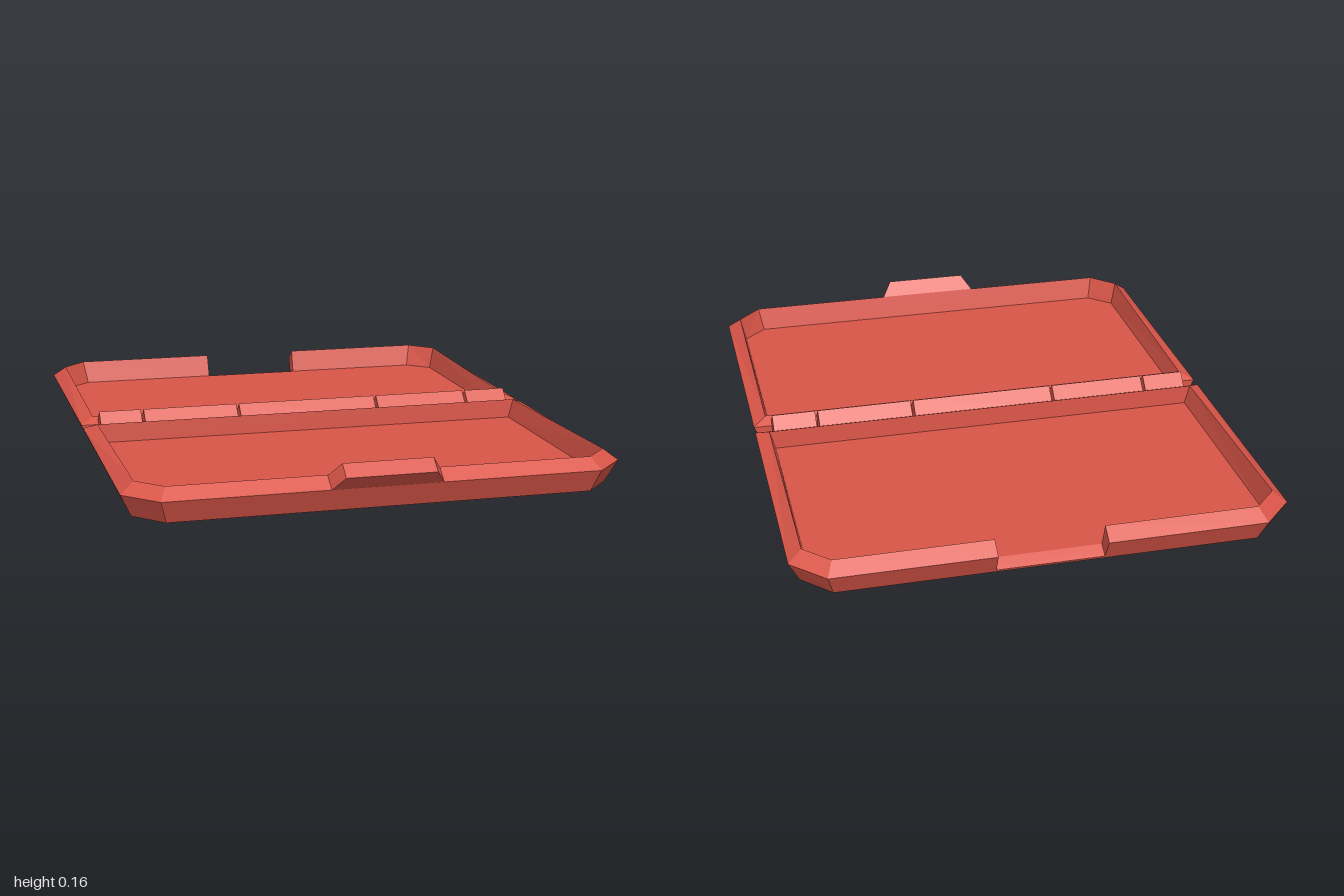
import * as THREE from 'three';

// Skin a stack of equal-length rings of [x, y, z] and close both ends with fans.
function loft(rings, flip = false) {
  const pos = [];
  const tri = (a, b, c) => pos.push(...a, ...(flip ? c : b), ...(flip ? b : c));
  const centre = (r) => [0, 1, 2].map((k) => r.reduce((s, p) => s + p[k], 0) / r.length);
  const n = rings[0].length;
  const first = rings[0], last = rings[rings.length - 1];
  const c0 = centre(first), c1 = centre(last);
  for (let i = 0; i < n; i++) {
    const j = (i + 1) % n;
    tri(c0, first[i], first[j]);
    tri(c1, last[j], last[i]);
    for (let k = 0; k < rings.length - 1; k++) {
      const a = rings[k], b = rings[k + 1];
      tri(a[j], a[i], b[i]);
      tri(a[j], b[i], b[j]);
    }
  }
  const g = new THREE.BufferGeometry();
  g.setAttribute('position', new THREE.Float32BufferAttribute(pos, 3));
  g.computeVertexNormals();
  return g;
}

const HINGE_Z = -0.02;

// Tray sections from the underside up over the rim and down to the floor:
// half width, hinge edge, end edge, corner start, corner half width, hinge y, end y, notch edge, notch y
const SECTIONS = [
  [0.77, 0.02, 0.945, 0.85, 0.68, 0, 0, 0.945, 0],
  [0.805, 0.02, 0.98, 0.873, 0.7, 0.075, 0.075, 0.948, 0.008],
  [0.76, 0.06, 0.932, 0.85, 0.68, 0.095, 0.11, 0.938, 0.014],
  [0.742, 0.063, 0.91, 0.838, 0.665, 0.03, 0.03, 0.91, 0.03],
];

// dir = 1 opens toward the front, -1 toward the back
function tray(dir, notched) {
  const rings = SECTIONS.map(([w, hinge, end, corner, cw, yh, ye, nz, ny]) => {
    const half = [[w, yh, hinge], [w, ye, corner], [cw, ye, end]];
    if (notched) half.push([0.176, ye, end], [0.174, ny, nz]);
    const other = half.map(([x, y, z]) => [-x, y, z]).reverse();
    return [...half, ...other].map(([x, y, z]) => [x, y, dir * z + HINGE_Z]);
  });
  return loft(rings, dir < 0);
}

export function createModel() {
  const model = new THREE.Group();
  model.name = 'openCase';
  const red = new THREE.MeshStandardMaterial({ color: 0xd95548 });
  red.name = 'caseRed';
  const add = (geometry, name, parent = model) => {
    const mesh = new THREE.Mesh(geometry, red);
    mesh.name = name;
    parent.add(mesh);
    return mesh;
  };

  // Two shallow trays, the rear one with a latch notch
  add(tray(1, false), 'frontTray');
  add(tray(-1, true), 'backTray');

  // Latch tab rising from the front rim
  const tabRing = (w, top, bottom) => [[w, ...top], [w, ...bottom], [-w, ...bottom], [-w, ...top]];
  add(loft([
    tabRing(0.18, [0.108, 0.914], [0.073, 0.958]),
    tabRing(0.145, [0.155, 0.955], [0.12, 1.0]),
  ]), 'latchTab');

  // Five diamond-section hinge knuckles
  const hinge = new THREE.Group();
  hinge.name = 'hinge';
  model.add(hinge);
  const spans = [[-0.745, -0.6], [-0.59, -0.26], [-0.25, 0.245], [0.255, 0.583], [0.593, 0.742]];
  for (const [a, b] of spans) {
    const g = new THREE.CylinderGeometry(0.053, 0.053, b - a, 4).toNonIndexed();
    g.computeVertexNormals();
    g.rotateZ(Math.PI / 2);
    add(g, 'hingeKnuckle', hinge).position.set((a + b) / 2, 0.072, HINGE_Z);
  }
  return model;
}
